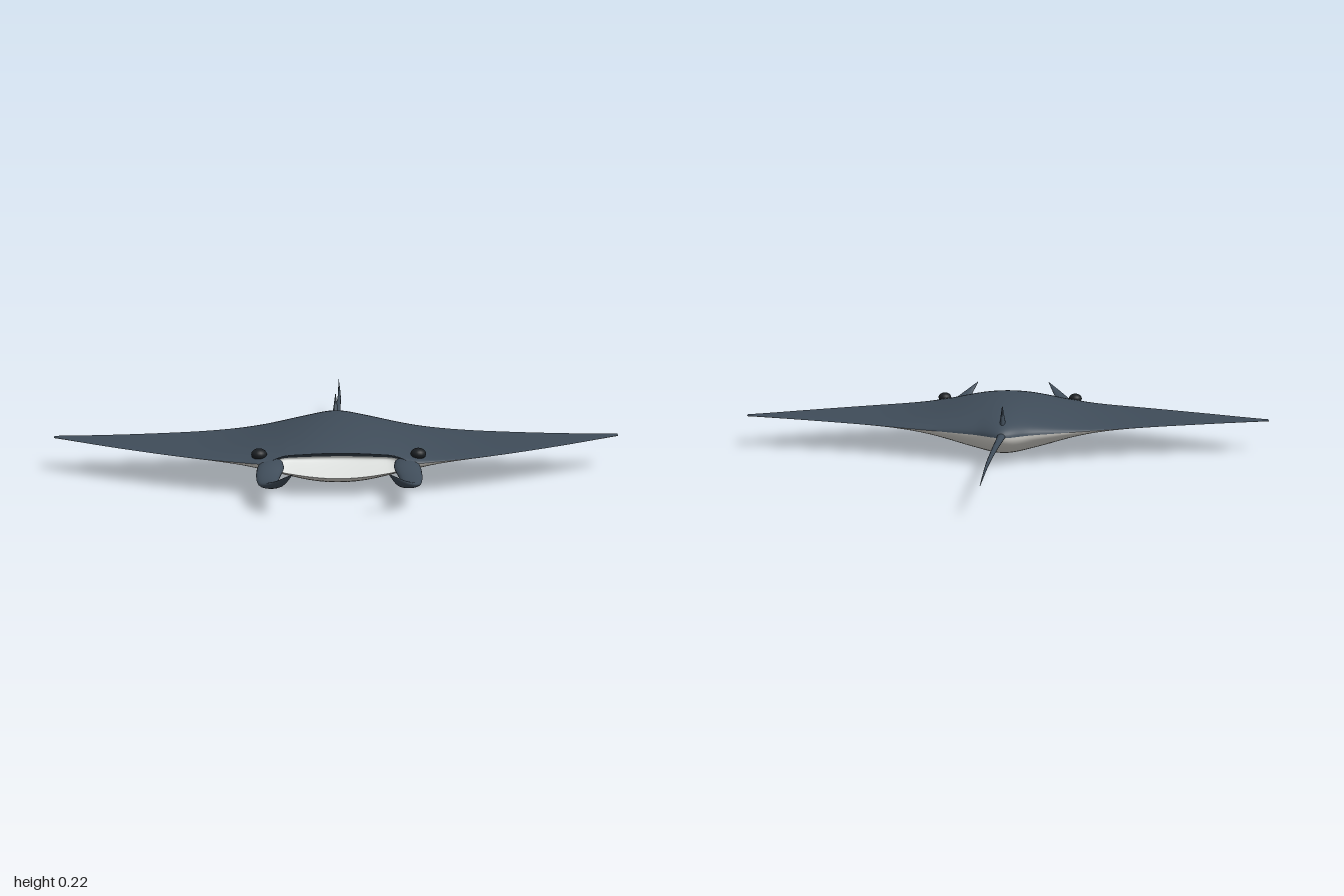
import * as THREE from 'three';
import { mergeVertices } from 'three/addons/utils/BufferGeometryUtils.js';

const V = (x, y, z) => new THREE.Vector3(x, y, z);

const flat = (name, color, side = THREE.FrontSide) => {
  const m = new THREE.MeshStandardMaterial({ color, side });
  m.name = name;
  return m;
};

// Smooth surface from a function of (u, v); it faces along dv x du unless flipped
function surface(name, fn, nu, nv, material, flip = false) {
  const pos = [], index = [];
  for (let i = 0; i <= nu; i++)
    for (let j = 0; j <= nv; j++) pos.push(...fn(i / nu, j / nv).toArray());
  for (let i = 0; i < nu; i++)
    for (let j = 0; j < nv; j++) {
      const a = i * (nv + 1) + j, b = a + 1, c = a + nv + 1, d = c + 1;
      if (flip) index.push(a, c, b, b, c, d);
      else index.push(a, b, c, b, d, c);
    }
  let geo = new THREE.BufferGeometry();
  geo.setAttribute('position', new THREE.Float32BufferAttribute(pos, 3));
  geo.setIndex(index);
  geo = mergeVertices(geo, 1e-5);
  geo.computeVertexNormals();
  const mesh = new THREE.Mesh(geo, material);
  mesh.name = name;
  return mesh;
}

// Elliptical loft in x-y sections; each row is x, y, z, half width, half height
function loft(name, rows, material, side = 1, flip = false) {
  const path = new THREE.CatmullRomCurve3(rows.map(r => V(r[0], r[1], r[2])));
  const size = new THREE.CatmullRomCurve3(rows.map(r => V(r[3], r[4], r[2])));
  return surface(name, (u, v) => {
    const p = path.getPoint(u), s = size.getPoint(u), a = v * Math.PI * 2;
    return V(side * (p.x + s.x * Math.cos(a)), p.y + s.y * Math.sin(a), p.z);
  }, 28, 18, material, flip);
}

// Outline of the disc: x, leading edge z, trailing edge z
const half = [
  [0.1, 0.603, -0.048], [0.18, 0.594, -0.016], [0.25, 0.606, 0.01], [0.32, 0.585, 0.035],
  [0.5, 0.515, 0.097], [0.75, 0.385, 0.16], [1, 0.235, 0.208],
];
const outline = new THREE.CatmullRomCurve3([
  ...half.slice().reverse().map(([x, l, t]) => V(-x, l, t)),
  V(0, 0.608, -0.1),
  ...half.map(([x, l, t]) => V(x, l, t)),
]);

// Point on the upper (dir 1) or lower (dir -1) skin; t runs from tail edge to front
function skin(u, t, dir) {
  const o = outline.getPoint(u), x = o.x;
  const open = 1 - THREE.MathUtils.smoothstep(Math.abs(x), 0.17, 0.25);
  const end = 1 - 0.1 * open;
  const phi = t * Math.acos(-end), s = -Math.cos(phi);
  const bulge = Math.exp(-((x / 0.285) ** 2));
  const thick = (dir > 0 ? 0.084 : 0.107) * bulge + 0.003;
  const z = THREE.MathUtils.lerp(o.z, o.y, (s + 1) / (end + 1));
  return V(x, 0.11 + 0.012 * x * x + dir * thick * Math.sin(phi), z);
}

export function createModel() {
  const group = new THREE.Group();
  const slate = flat('slate', 0x3f4c59);
  const belly = flat('belly grey', 0xd4d2cc);
  const pale = flat('mouth white', 0xdde0de, THREE.DoubleSide);
  const roof = flat('mouth shadow slate', 0x343f4a, THREE.DoubleSide);
  const black = flat('eye black', 0x1b1f23);
  const gillGrey = flat('gill grey', 0x85878a, THREE.DoubleSide);

  // Back and belly
  group.add(surface('back', (u, v) => skin(u, v, 1), 112, 36, slate));
  group.add(surface('belly', (u, v) => skin(u, v, -1), 112, 36, belly, true));

  // Hollow mouth between the two lips
  const mouth = (from, to) => (u, v) => {
    const k = 0.5 + (u - 0.5) * 0.46;
    const w = from + (to - from) * v;
    const a = skin(k, 1, 1), b = skin(k, 1, -1);
    const depth = 1.3 * (a.y - b.y) * Math.sin(Math.PI * w);
    return V(a.x, THREE.MathUtils.lerp(a.y, b.y, w), a.z - depth);
  };
  group.add(surface('mouthRoof', mouth(0, 0.4), 40, 8, roof));
  group.add(surface('mouthFloor', mouth(0.4, 1), 40, 10, pale));

  for (const side of [1, -1]) {
    const tag = side > 0 ? 'Left' : 'Right';

    // Curled horn fins beside the mouth
    group.add(loft('hornFin' + tag, [
      [0.222, 0.108, 0.57, 0.036, 0.016],
      [0.226, 0.1, 0.62, 0.044, 0.019],
      [0.233, 0.082, 0.69, 0.037, 0.015],
      [0.226, 0.08, 0.76, 0.031, 0.012],
      [0.198, 0.1, 0.825, 0.022, 0.009],
      [0.152, 0.144, 0.885, 0.002, 0.001],
    ], slate, side, side < 0));

    // Eyes
    const eye = new THREE.Mesh(new THREE.SphereGeometry(0.026, 20, 14), black);
    eye.name = 'eye' + tag;
    eye.scale.y = 0.75;
    eye.position.set(side * 0.265, 0.136, 0.565);
    group.add(eye);

    // Five tapered gill slits under each side
    for (let i = 0; i < 5; i++) {
      group.add(surface('gillSlit' + tag, (u, v) => {
        const t = 0.37 + i * 0.062 + (v - 0.5) * 0.014 * Math.sin(Math.PI * u);
        const p = skin(0.5 + side * (0.105 + 0.12 * u), t, -1);
        p.y -= 0.0015;
        return p;
      }, 10, 2, gillGrey, side > 0));
    }
  }

  // Small dorsal fin
  group.add(surface('dorsalFin', (u, v) => {
    const a = v * Math.PI * 2, k = 1 - 0.93 * u;
    const zc = THREE.MathUtils.lerp(-0.025, -0.055, u);
    return V(0.015 * k * Math.sin(a), 0.125 + 0.095 * u, zc + 0.036 * k * Math.cos(a));
  }, 8, 18, slate));

  // Whip tail
  group.add(loft('tail', [
    [0, 0.113, -0.05, 0.018, 0.014],
    [0.004, 0.113, -0.12, 0.014, 0.011],
    [0.014, 0.115, -0.3, 0.01, 0.008],
    [0.024, 0.119, -0.55, 0.006, 0.005],
    [0.028, 0.125, -0.885, 0.001, 0.001],
  ], slate, 1, true));

  return group;
}
